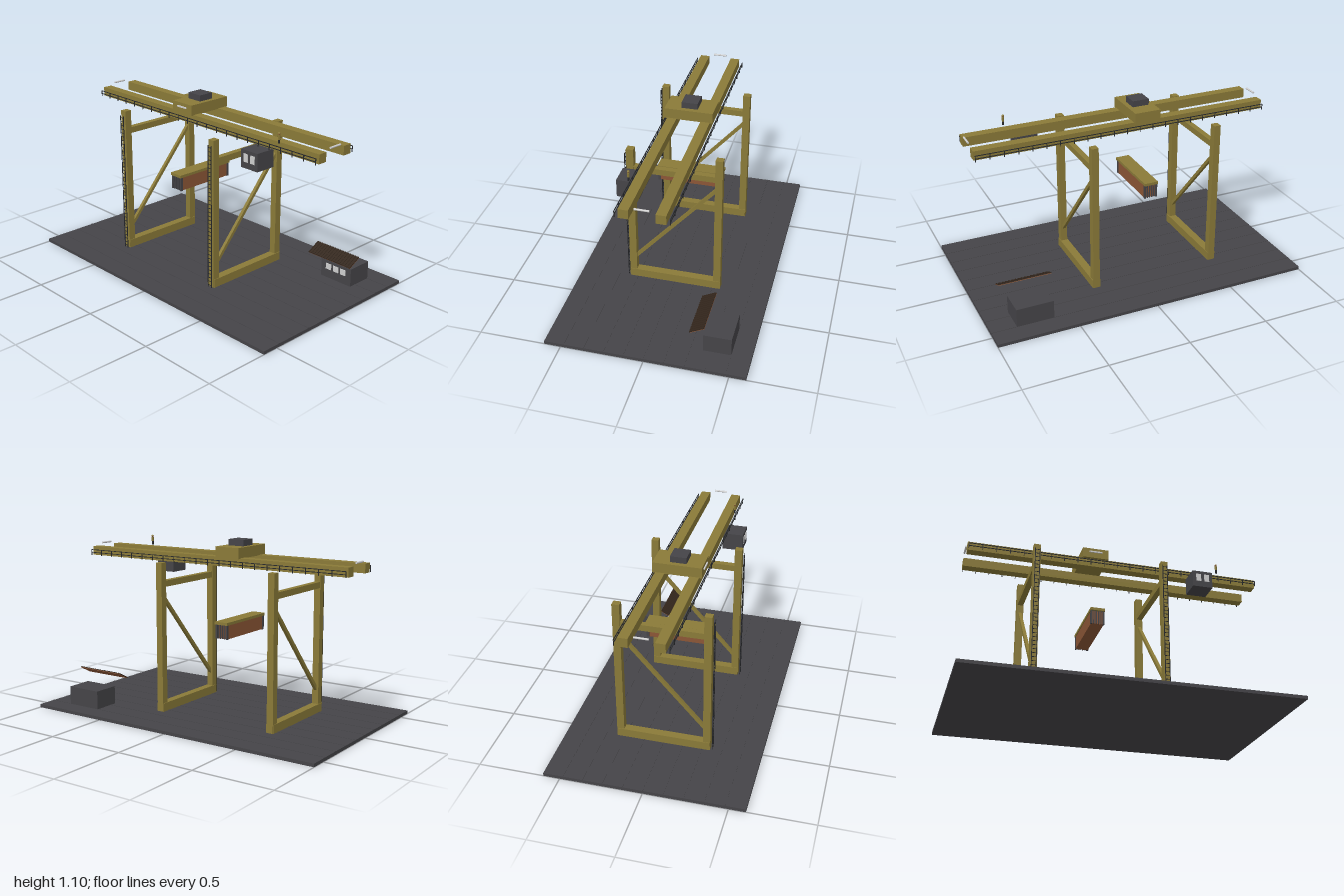
import * as THREE from 'three';

const mat = (name, color) => {
  const m = new THREE.MeshStandardMaterial({ color });
  m.name = name;
  return m;
};

export function createModel() {
  const root = new THREE.Group();
  root.name = 'gantryCrane';
  const yellow = mat('craneYellow', 0x8a7a38);
  const grey = mat('slateGrey', 0x454448);
  const dark = mat('darkSteel', 0x25272a);
  const rust = mat('rustBrown', 0x8c5636);
  const roofBrown = mat('roofBrown', 0x33261c);
  const pale = mat('paleGlass', 0xcfcfcf);

  const group = (name, parent = root) => {
    const g = new THREE.Group();
    g.name = name;
    parent.add(g);
    return g;
  };
  const add = (name, geo, m, x, y, z, parent) => {
    const mesh = new THREE.Mesh(geo, m);
    mesh.name = name;
    mesh.position.set(x, y, z);
    parent.add(mesh);
    return mesh;
  };
  // Box given by its minimum and maximum along each axis
  const box = (name, m, [x0, x1], [y0, y1], [z0, z1], parent = root) =>
    add(name, new THREE.BoxGeometry(x1 - x0, y1 - y0, z1 - z0), m,
      (x0 + x1) / 2, (y0 + y1) / 2, (z0 + z1) / 2, parent);

  // Yard slab with shallow seams
  const yard = group('yard');
  box('slab', grey, [-1, 1], [0, 0.02], [-0.6, 0.6], yard);
  for (let i = 1; i < 10; i++) {
    const z = -0.6 + i * 0.12;
    box('slabSeam', grey, [-1, 1], [0.019, 0.022], [z - 0.002, z + 0.002], yard);
  }

  // Two portal frames, each with a brace and a ladder
  for (const x of [-0.535, 0.265]) {
    const frame = group('portalFrame');
    const span = (w) => [x - w / 2, x + w / 2];
    for (const s of [-1, 1]) {
      const z = s * 0.268;
      box('leg', yellow, span(0.042), [0.02, 0.953], [z - 0.0225, z + 0.0225], frame);
    }
    box('sillBeam', yellow, span(0.05), [0.02, 0.073], [-0.288, 0.288], frame);
    box('crossBeam', yellow, span(0.036), [0.802, 0.84], [-0.25, 0.25], frame);

    const rise = 0.56, run = 0.492;
    const brace = add('diagonalBrace', new THREE.BoxGeometry(0.02, 0.02, Math.hypot(rise, run) + 0.02),
      yellow, x, 0.455, 0, frame);
    brace.rotation.x = Math.atan2(rise, run);

    const ladder = group('ladder', frame);
    for (const s of [-1, 1]) {
      const lx = x + s * 0.014;
      box('ladderRail', dark, [lx - 0.002, lx + 0.002], [0.02, 0.922], [0.3, 0.304], ladder);
    }
    for (let i = 0; i < 36; i++) {
      const y = 0.035 + i * 0.025;
      box('rung', dark, [x - 0.014, x + 0.014], [y - 0.0015, y + 0.0015], [0.3005, 0.3035], ladder);
    }
  }

  // Twin girders, guard rails and end lamps
  for (const s of [-1, 1]) {
    box('girder', yellow, [-0.935, 0.935], [0.942, 0.998], [s * 0.103 - 0.029, s * 0.103 + 0.029]);
    const rail = group('guardRail');
    const z = s * 0.154;
    for (const y of [0.96, 0.978])
      box('railBar', dark, [-0.932, 0.932], [y - 0.002, y + 0.002], [z - 0.002, z + 0.002], rail);
    for (let i = 0; i <= 22; i++) {
      const x = -0.93 + i * 1.86 / 22;
      box('railPost', dark, [x - 0.002, x + 0.002], [0.942, 0.98], [z - 0.002, z + 0.002], rail);
    }
    const lamp = add('endLamp', new THREE.CylinderGeometry(0.006, 0.006, 0.084, 10), pale,
      s * 0.935, 1.014, 0, root);
    lamp.rotation.x = Math.PI / 2;
  }

  // Trolley with winch housing and front plate
  const trolley = group('trolley');
  box('trolleyBody', yellow, [-0.22, -0.055], [0.995, 1.06], [-0.149, 0.149], trolley);
  box('winchHousing', grey, [-0.19, -0.085], [1.06, 1.098], [-0.05, 0.05], trolley);
  box('frontPlate', pale, [-0.178, -0.097], [1.031, 1.04], [0.148, 0.156], trolley);

  // Suspended container under its spreader
  const load = group('container');
  box('containerBody', rust, [-0.177, -0.098], [0.515, 0.6], [-0.195, 0.195], load);
  box('spreader', yellow, [-0.182, -0.093], [0.6, 0.617], [-0.21, 0.21], load);
  for (const s of [-1, 1]) {
    const z = [s * 0.197 - 0.008, s * 0.197 + 0.008];
    for (const x of [-0.175, -0.1])
      box('cornerPost', grey, [x - 0.005, x + 0.005], [0.513, 0.6], z, load);
    for (let i = 1; i < 5; i++) {
      const x = -0.175 + i * 0.015;
      box('doorRib', grey, [x - 0.0025, x + 0.0025], [0.515, 0.6], z, load);
    }
  }

  // Control cab hanging below the front girder
  const cab = group('controlCab');
  box('cabBody', grey, [0.466, 0.595], [0.835, 0.943], [0.12, 0.25], cab);
  for (const x of [0.505, 0.558])
    box('cabWindow', pale, [x - 0.016, x + 0.016], [0.873, 0.922], [0.248, 0.253], cab);

  // Small standing figure on the front walkway
  const figure = group('standingFigure');
  box('figureLegs', dark, [0.659, 0.669], [1.0, 1.022], [0.15, 0.158], figure);
  add('torso', new THREE.CylinderGeometry(0.008, 0.007, 0.028, 8), yellow, 0.664, 1.036, 0.154, figure);
  add('head', new THREE.SphereGeometry(0.007, 10, 8), rust, 0.664, 1.056, 0.154, figure);
  add('helmet', new THREE.SphereGeometry(0.008, 10, 5, 0, Math.PI * 2, 0, Math.PI / 2), yellow,
    0.664, 1.057, 0.154, figure);

  // Yard office
  const office = group('office');
  box('officeBody', grey, [0.617, 0.846], [0.02, 0.135], [-0.482, -0.315], office);
  for (const x of [0.675, 0.731, 0.787])
    box('officeWindow', pale, [x - 0.02, x + 0.02], [0.078, 0.115], [-0.316, -0.311], office);

  // Sloping canopy in front of the office: sheet, underside and ribs
  const canopy = group('canopy');
  canopy.position.set(0.73, 0.204, -0.287);
  canopy.rotation.x = Math.atan2(0.045, 0.085);
  box('canopySheet', roofBrown, [-0.16, 0.16], [0, 0.003], [-0.048, 0.048], canopy);
  box('canopyUnderside', rust, [-0.16, 0.16], [-0.003, 0], [-0.048, 0.048], canopy);
  for (let i = 0; i <= 16; i++) {
    const x = -0.156 + i * 0.0195;
    box('canopyRib', roofBrown, [x - 0.003, x + 0.003], [0.003, 0.006], [-0.048, 0.048], canopy);
  }
  return root;
}
